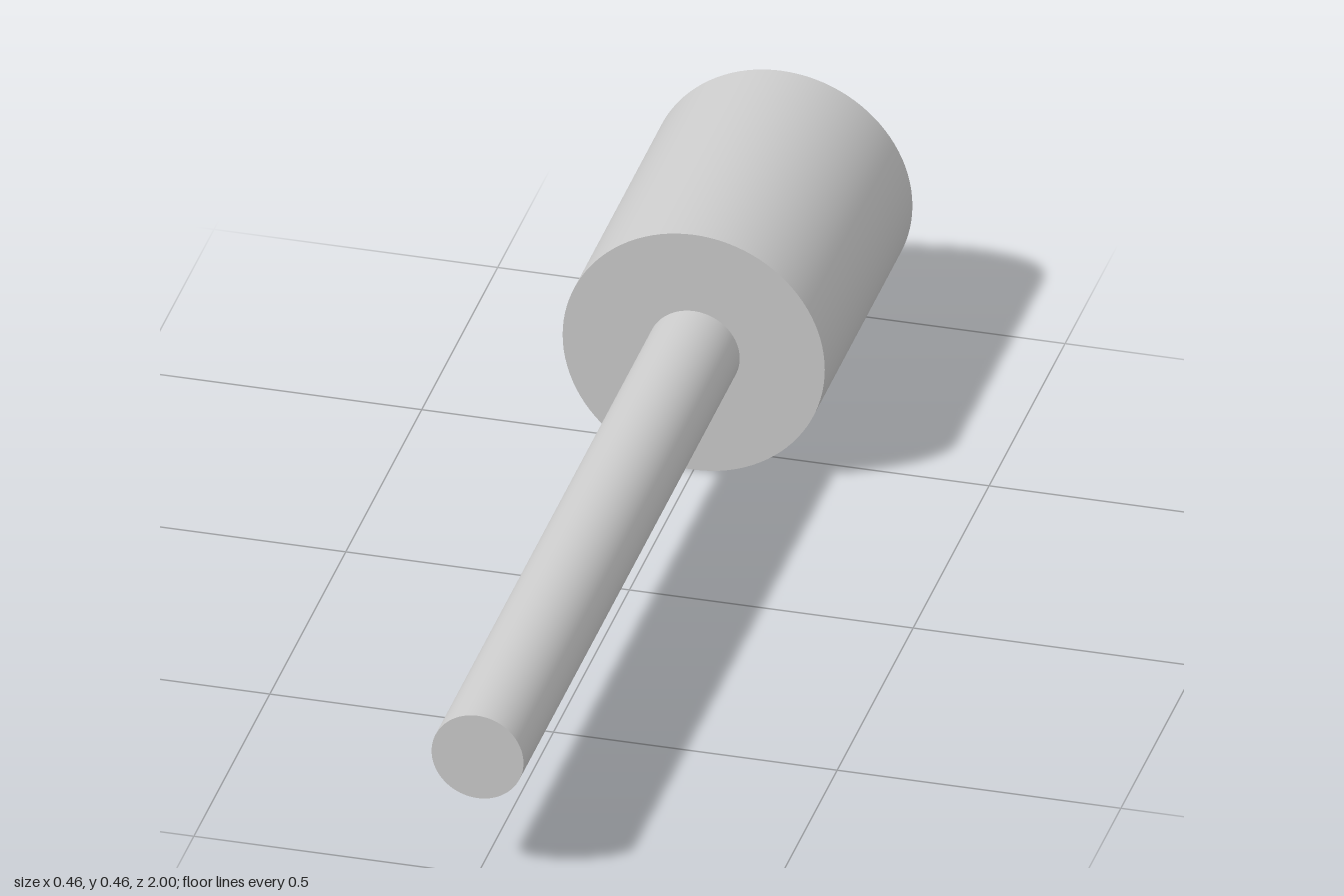
import * as THREE from 'three';

const HEAD_RADIUS = 0.231;
const SHAFT_RADIUS = 0.081;
const BACK = -1, SHOULDER = -0.423, FRONT = 1;

export function createModel() {
  const group = new THREE.Group();
  group.name = 'stemmedCylinder';
  const material = new THREE.MeshStandardMaterial({ color: 0xcccccc });

  // Cylinder lying along z, resting at the height of the shared axis
  function rod(name, radius, z0, z1) {
    const geometry = new THREE.CylinderGeometry(radius, radius, z1 - z0, 96);
    geometry.rotateX(Math.PI / 2);
    const mesh = new THREE.Mesh(geometry, material);
    mesh.name = name;
    mesh.position.set(0, HEAD_RADIUS, (z0 + z1) / 2);
    group.add(mesh);
  }

  // Wide head at the back, slim shaft reaching to the front
  rod('head', HEAD_RADIUS, BACK, SHOULDER);
  rod('shaft', SHAFT_RADIUS, SHOULDER, FRONT);

  return group;
}
